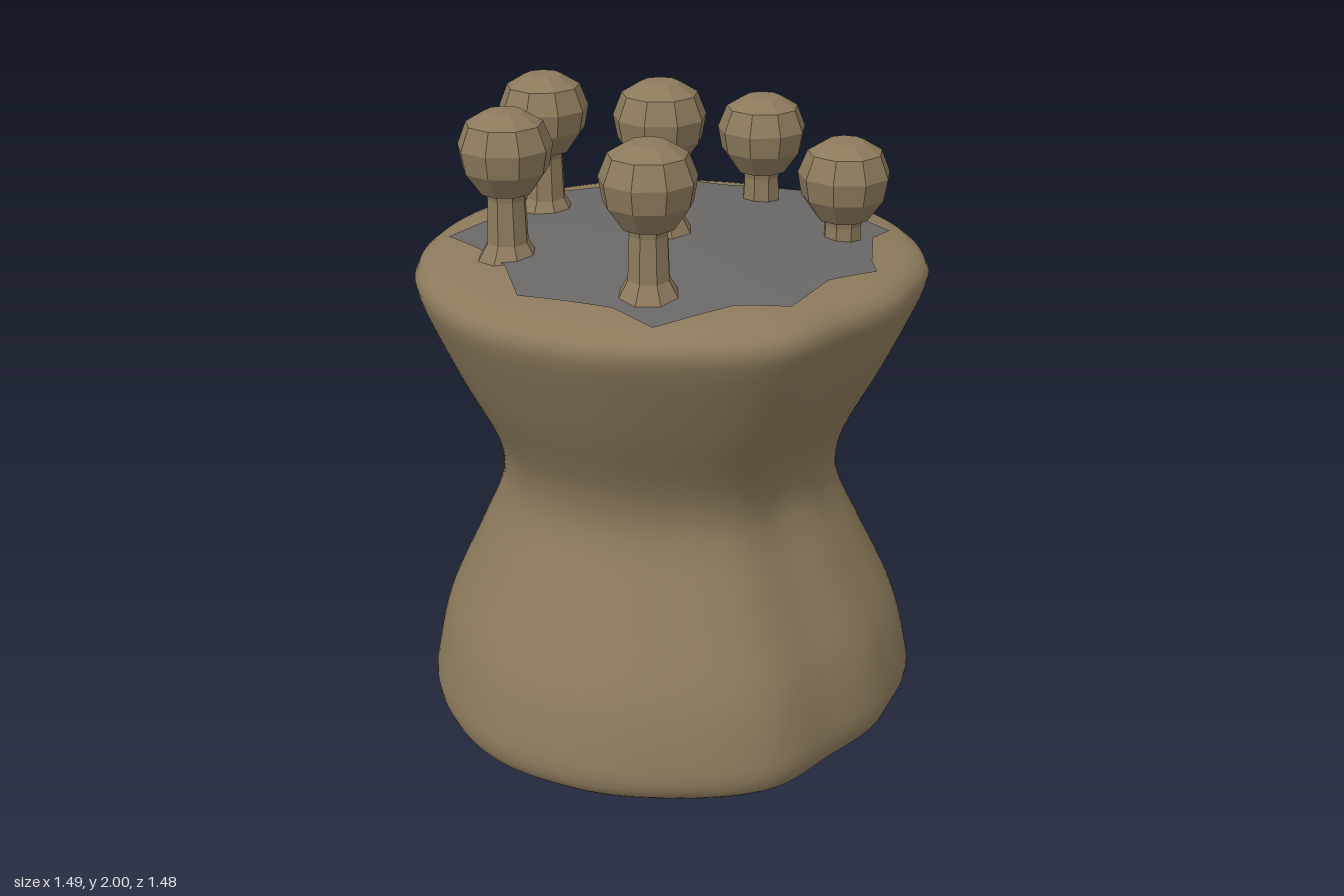
import * as THREE from 'three';

const TAU = Math.PI * 2;
const V2 = (x, y) => new THREE.Vector2(x, y);

// Uneven outline: radius at 16 even angles from +x towards +z
const OUTLINE = [0.745, 0.74, 0.71, 0.69, 0.735, 0.72, 0.73, 0.745, 0.74, 0.74, 0.74, 0.745, 0.745, 0.74, 0.74, 0.745];
const outlineScale = (angle) => {
  const t = (((angle / TAU) % 1) + 1) % 1 * 16;
  const i = Math.floor(t), f = t - i, s = f * f * (3 - 2 * f);
  return THREE.MathUtils.lerp(OUTLINE[i % 16], OUTLINE[(i + 1) % 16], s) / 0.74;
};

// Hourglass profile (radius, height), bottom to top
const PROFILE = [
  [0, 0.005], [0.25, 0.01], [0.47, 0.025], [0.62, 0.055], [0.715, 0.095], [0.738, 0.15], [0.733, 0.21],
  [0.69, 0.385], [0.59, 0.6], [0.52, 0.755], [0.502, 0.86], [0.53, 0.98], [0.63, 1.18], [0.715, 1.37],
  [0.738, 1.44], [0.735, 1.475], [0.68, 1.51], [0.52, 1.535], [0.25, 1.552], [0, 1.56],
].map(([r, y]) => V2(r, y));

// Side sockets: direction and height
const HOLES = [{ angle: 0, y: 0.66 }, { angle: -TAU / 3, y: 0.78 }];

function bodyGeometry(segs = 128, rows = 100) {
  const curve = new THREE.SplineCurve(PROFILE);
  const pos = [], index = [];
  const p = new THREE.Vector3();
  for (let j = 0; j <= rows; j++) {
    const c = curve.getPointAt(j / rows);
    const waist = Math.max(0, 1 - Math.abs(c.y - 0.85) / 0.6);
    for (let i = 0; i < segs; i++) {
      const a = (i / segs) * TAU;
      const r = Math.max(0, c.x) * outlineScale(a);
      p.set(Math.cos(a) * r, c.y, Math.sin(a) * r - 0.02 * waist);
      // Press the sockets into the side
      for (const h of HOLES) {
        const dx = Math.cos(h.angle), dz = Math.sin(h.angle);
        if (p.x * dx + p.z * dz < 0.2) continue;
        const d = Math.hypot(p.x * dz - p.z * dx, p.y - h.y);
        const push = 0.15 * (1 - THREE.MathUtils.smoothstep(d, 0.07, 0.12));
        p.x -= dx * push;
        p.z -= dz * push;
      }
      pos.push(p.x, p.y, p.z);
      if (j < rows) {
        const n = (i + 1) % segs;
        const q = j * segs + i, s = j * segs + n;
        index.push(q, q + segs, s, s, q + segs, s + segs);
      }
    }
  }
  const g = new THREE.BufferGeometry();
  g.setAttribute('position', new THREE.Float32BufferAttribute(pos, 3));
  g.setIndex(index);
  g.computeVertexNormals();
  return g;
}

// Height of the gently domed top at a point
function topHeight(x, z) {
  const r = Math.hypot(x, z) / outlineScale(Math.atan2(z, x));
  const top = PROFILE.slice(-4).reverse();
  for (let i = 0; i < 3; i++) {
    if (r <= top[i + 1].x) {
      return THREE.MathUtils.mapLinear(r, top[i].x, top[i + 1].x, top[i].y, top[i + 1].y);
    }
  }
  return top[3].y;
}

// Ragged edge of the grey patch (x, z)
const PATCH = [
  [0.64, 0.12], [0.55, 0.19], [0.46, 0.36], [0.44, 0.43], [0.27, 0.47], [0.1, 0.6], [-0.05, 0.56], [-0.29, 0.59],
  [-0.35, 0.45], [-0.55, 0.26], [-0.52, 0.05], [-0.54, -0.12], [-0.58, -0.31], [-0.4, -0.4], [-0.25, -0.46],
  [-0.18, -0.59], [0.03, -0.55], [0.26, -0.575], [0.35, -0.45], [0.57, -0.35], [0.56, -0.12],
];

function patchGeometry(rings = 12) {
  const pos = [], index = [], steps = 4;
  const n = PATCH.length * steps;
  for (let k = 0; k <= rings; k++) {
    for (let i = 0; i < n; i++) {
      const a = PATCH[Math.floor(i / steps)], b = PATCH[(Math.floor(i / steps) + 1) % PATCH.length];
      const f = (i % steps) / steps, t = k / rings;
      const x = (a[0] + (b[0] - a[0]) * f) * t, z = (a[1] + (b[1] - a[1]) * f) * t;
      pos.push(x, topHeight(x, z) + 0.007, z);
      if (k < rings) {
        const q = k * n + i, s = k * n + ((i + 1) % n);
        index.push(q, s, q + n, s, s + n, q + n);
      }
    }
  }
  const g = new THREE.BufferGeometry();
  g.setAttribute('position', new THREE.Float32BufferAttribute(pos, 3));
  g.setIndex(index);
  g.computeVertexNormals();
  return g;
}

// Peg positions: x, z, height of the tip
const PEGS = [
  [-0.25, -0.4, 1.955], [0.39, -0.25, 1.865], [-0.48, -0.04, 1.955],
  [-0.03, -0.02, 2.0], [0.46, 0.17, 1.83], [-0.23, 0.41, 1.96],
];

export function createModel() {
  const model = new THREE.Group();
  model.name = 'peggedHourglassStump';

  const brown = new THREE.MeshStandardMaterial({ color: 0x8c7a5c });
  brown.name = 'brown';
  const brownFaceted = brown.clone();
  brownFaceted.name = 'brown faceted';
  brownFaceted.flatShading = true;
  const grey = new THREE.MeshStandardMaterial({ color: 0x6a6866 });
  grey.name = 'grey';

  const add = (parent, name, geometry, material) => {
    const mesh = new THREE.Mesh(geometry, material);
    mesh.name = name;
    parent.add(mesh);
    return mesh;
  };

  add(model, 'body', bodyGeometry(), brown);
  add(model, 'topPatch', patchGeometry(), grey);

  // Faceted pegs: flared foot and stalk, with a round knob; origin at the tip
  const stalk = new THREE.LatheGeometry(
    [V2(0.1, -0.48), V2(0.095, -0.435), V2(0.06, -0.375), V2(0.055, -0.25), V2(0.065, -0.2)], 8);
  const knob = new THREE.LatheGeometry(
    [V2(0, -0.238), V2(0.075, -0.23), V2(0.122, -0.165), V2(0.134, -0.1), V2(0.108, -0.035), V2(0.055, -0.003), V2(0, 0)], 9);
  PEGS.forEach(([x, z, y], i) => {
    const peg = new THREE.Group();
    peg.name = `peg${i + 1}`;
    peg.position.set(x, y, z);
    add(peg, 'stalk', stalk, brownFaceted);
    add(peg, 'knob', knob, brownFaceted);
    model.add(peg);
  });

  return model;
}
